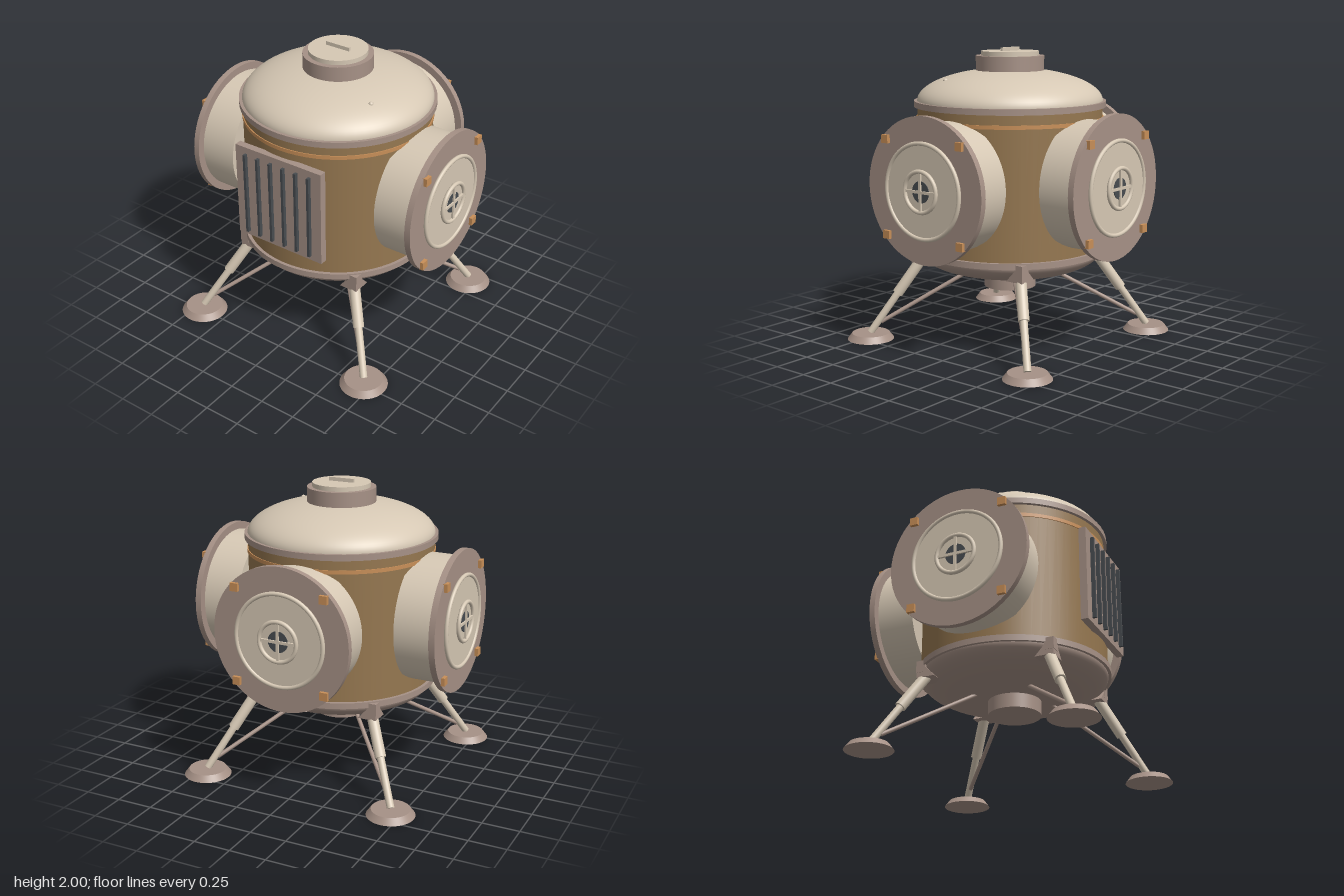
import * as THREE from 'three';

export function createModel() {
  const mat = (name, color) => {
    const m = new THREE.MeshStandardMaterial({ color });
    m.name = name;
    return m;
  };
  const cream = mat('cream shell', 0xd6c8b4);
  const mauve = mat('taupe frame', 0xa69186);
  const brown = mat('brown hull', 0x957750);
  const copper = mat('copper trim', 0xc88f58);
  const dark = mat('dark slate', 0x484c50);

  const model = new THREE.Group();
  model.name = 'stationModule';
  const craft = new THREE.Group();
  craft.name = 'craft';
  craft.position.z = 0.037;
  model.add(craft);

  const add = (parent, name, geo, material, x = 0, y = 0, z = 0) => {
    const m = new THREE.Mesh(geo, material);
    m.name = name;
    m.position.set(x, y, z);
    parent.add(m);
    return m;
  };
  const box = (w, h, d) => new THREE.BoxGeometry(w, h, d);
  // upright cylinder between two heights
  const drum = (parent, name, material, r, y0, y1, rTop = r) =>
    add(parent, name, new THREE.CylinderGeometry(rTop, r, y1 - y0, 64), material, 0, (y0 + y1) / 2, 0);
  // disc-like cylinder along z between two depths
  const disc = (parent, name, material, r, z0, z1) => {
    const m = add(parent, name, new THREE.CylinderGeometry(r, r, z1 - z0, 64), material, 0, 0, (z0 + z1) / 2);
    m.rotation.x = Math.PI / 2;
    return m;
  };
  // round bar between two points
  const bar = (parent, name, material, a, b, r) => {
    const p = new THREE.Vector3(...a), q = new THREE.Vector3(...b);
    const m = add(parent, name, new THREE.CylinderGeometry(r, r, p.distanceTo(q), 24), material);
    m.position.copy(p).add(q).multiplyScalar(0.5);
    m.quaternion.setFromUnitVectors(new THREE.Vector3(0, 1, 0), q.sub(p).normalize());
    return m;
  };

  // Hull and rims
  drum(craft, 'hull', brown, 0.628, 0.64, 1.62);
  drum(craft, 'hullBand', copper, 0.634, 1.515, 1.54);
  drum(craft, 'lowerRim', mauve, 0.65, 0.615, 0.655);
  drum(craft, 'upperRim', mauve, 0.65, 1.605, 1.645);

  // Elliptical domes
  const half = new THREE.SphereGeometry(1, 64, 24, 0, Math.PI * 2, 0, Math.PI / 2);
  add(craft, 'upperDome', half, cream, 0, 1.64, 0).scale.set(0.63, 0.222, 0.63);
  const under = add(craft, 'lowerDome', half, mauve, 0, 0.62, 0);
  under.scale.set(0.63, 0.175, 0.63);
  under.rotation.x = Math.PI;
  add(craft, 'domeSensor', new THREE.SphereGeometry(0.016, 16, 12), cream, 0.405, 1.787, 0.222);

  // Top hatch and bottom collar
  drum(craft, 'topCollar', mauve, 0.231, 1.8, 1.945);
  drum(craft, 'topLid', cream, 0.195, 1.945, 1.975);
  add(craft, 'topHandle', box(0.18, 0.025, 0.018), cream, 0, 1.9875, 0);
  drum(craft, 'bottomCollar', mauve, 0.178, 0.355, 0.5);

  // Louvred radiator on the front
  add(craft, 'radiatorPanel', box(0.67, 0.665, 0.05), mauve, 0, 1.1325, 0.638);
  for (let i = 0; i < 6; i++)
    add(craft, 'radiatorSlat', box(0.018, 0.585, 0.026), dark, -0.25 + i * 0.1, 1.128, 0.675);

  // Docking ports on both sides and at the back
  for (const [name, angle] of [['leftPort', 0.5], ['rightPort', -0.5], ['backPort', 1]]) {
    const port = new THREE.Group();
    port.name = name;
    port.position.y = 1.13;
    port.rotation.y = angle * Math.PI;
    craft.add(port);
    disc(port, 'portTube', cream, 0.425, 0.573, 0.84);
    disc(port, 'portFlange', mauve, 0.477, 0.832, 0.873);
    disc(port, 'portHatch', cream, 0.305, 0.87, 0.886);
    add(port, 'hatchRim', new THREE.TorusGeometry(0.306, 0.014, 12, 64), cream, 0, 0, 0.884);
    disc(port, 'windowSeat', cream, 0.13, 0.88, 0.896);
    add(port, 'windowRim', new THREE.TorusGeometry(0.131, 0.014, 12, 48), cream, 0, 0, 0.902);
    disc(port, 'windowGlass', dark, 0.07, 0.892, 0.9);
    add(port, 'windowBar', box(0.25, 0.018, 0.014), cream, 0, 0, 0.903);
    add(port, 'windowBar', box(0.018, 0.25, 0.014), cream, 0, 0, 0.903);
    for (const sx of [-1, 1]) for (const sy of [-1, 1])
      add(port, 'flangeLatch', box(0.054, 0.054, 0.03), copper, sx * 0.312, sy * 0.312, 0.881);
  }

  // Bracket whose upper face is drawn in towards the outer corner
  const bracketGeo = (sx, sz) => {
    const g = box(0.13, 0.075, 0.13);
    const p = g.attributes.position;
    for (let i = 0; i < p.count; i++) {
      if (p.getY(i) < 0) continue;
      if (p.getX(i) * sx < 0) p.setX(i, sx * 0.005);
      if (p.getZ(i) * sz < 0) p.setZ(i, sz * 0.005);
    }
    g.computeVertexNormals();
    return g;
  };

  // Four telescopic legs
  for (const sx of [-1, 1]) for (const sz of [-1, 1]) {
    const leg = new THREE.Group();
    leg.name = (sz > 0 ? 'front' : 'back') + (sx > 0 ? 'Left' : 'Right') + 'Leg';
    craft.add(leg);
    const at = (d, y) => [sx * d, y, sz * d];
    add(leg, 'legMount', box(0.066, 0.08, 0.066), mauve, sx * 0.452, 0.605, sz * 0.452);
    add(leg, 'legBracket', bracketGeo(sx, sz), mauve, sx * 0.418, 0.567, sz * 0.418);
    bar(leg, 'upperStrut', cream, at(0.425, 0.57), at(0.553, 0.315), 0.037);
    bar(leg, 'lowerStrut', cream, at(0.55, 0.32), at(0.687, 0.045), 0.025);
    bar(leg, 'brace', mauve, at(0.19, 0.47), at(0.635, 0.115), 0.014);
    const foot = drum(leg, 'footPad', mauve, 0.16, 0, 0.042, 0.128);
    foot.position.x = sx * 0.687;
    foot.position.z = sz * 0.687;
  }
  return model;
}
